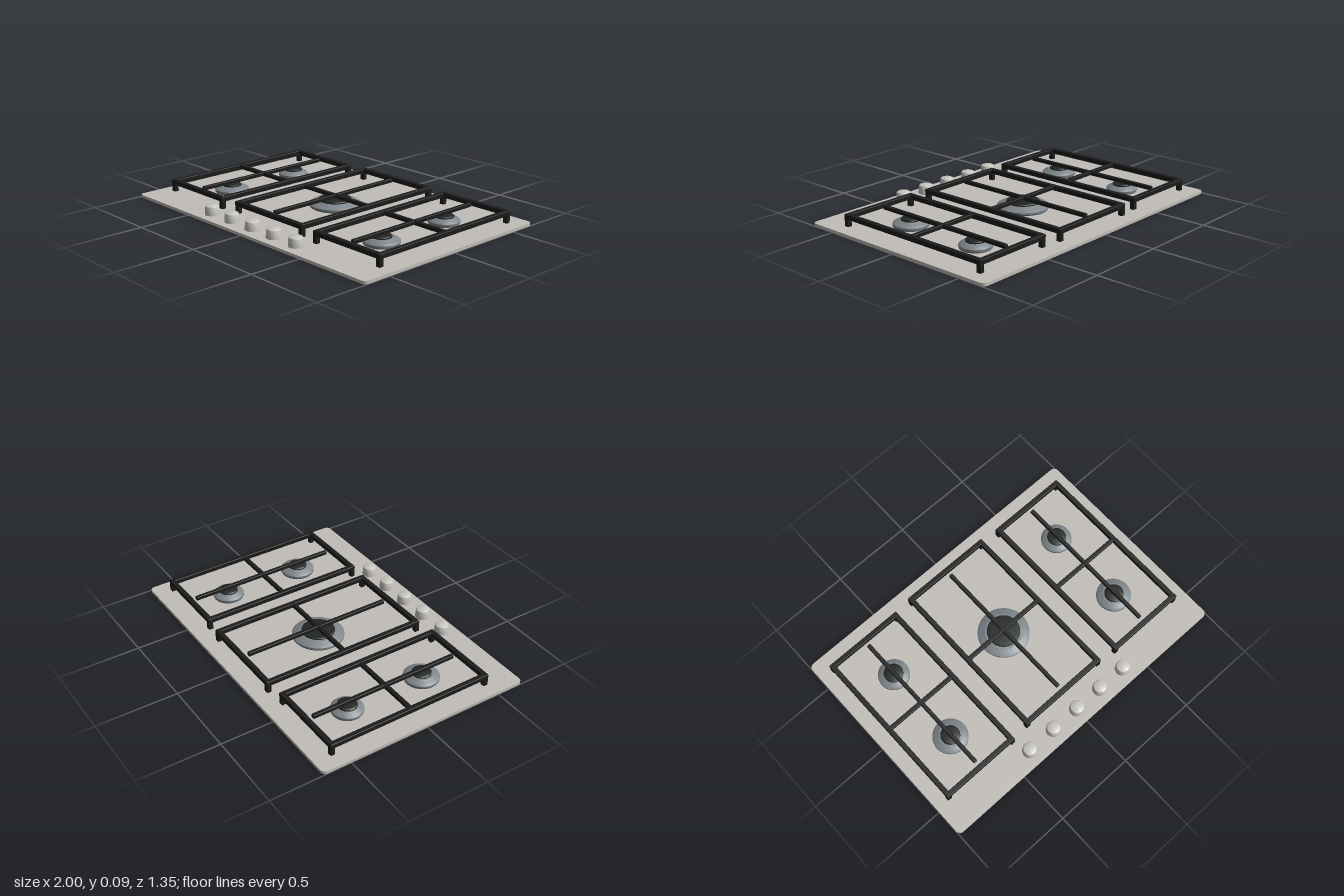
import * as THREE from 'three';
import { RoundedBoxGeometry } from 'three/addons/geometries/RoundedBoxGeometry.js';
import { toCreasedNormals } from 'three/addons/utils/BufferGeometryUtils.js';

const mat = (name, color) => {
  const m = new THREE.MeshStandardMaterial({ color });
  m.name = name;
  return m;
};

export function createModel() {
  const steel = mat('brushedSteel', 0xc1bdb8);
  const knobSteel = mat('knobSteel', 0xc9c7c0);
  const iron = mat('castIron', 0x1b1c1b);
  const alloy = mat('burnerAlloy', 0x7f878c);
  const enamel = mat('capEnamel', 0x242626);
  const model = new THREE.Group();
  model.name = 'gasHob';

  const add = (parent, name, geo, material, x = 0, y = 0, z = 0) => {
    const m = new THREE.Mesh(geo, material);
    m.name = name;
    m.position.set(x, y, z);
    parent.add(m);
    return m;
  };
  const group = (name, x, z) => {
    const g = new THREE.Group();
    g.name = name;
    g.position.set(x, 0, z);
    model.add(g);
    return g;
  };
  const lathe = (points) => toCreasedNormals(
    new THREE.LatheGeometry(points.map(([r, y]) => new THREE.Vector2(r, y)), 48), 0.6);

  // Base plate with rounded corners
  const W = 1, D = 0.677, R = 0.03, T = 0.018;
  const s = new THREE.Shape();
  s.moveTo(-W + R, -D);
  s.lineTo(W - R, -D);
  s.absarc(W - R, -D + R, R, -Math.PI / 2, 0);
  s.absarc(W - R, D - R, R, 0, Math.PI / 2);
  s.absarc(-W + R, D - R, R, Math.PI / 2, Math.PI);
  s.absarc(-W + R, -D + R, R, Math.PI, Math.PI * 1.5);
  const plate = new THREE.ExtrudeGeometry(s, { depth: T, bevelEnabled: false, curveSegments: 8 });
  plate.rotateX(-Math.PI / 2);
  add(model, 'basePlate', plate, steel);

  // Burners: sloping alloy skirt, crown ring and dark cap
  const burner = (name, x, z, outer, ring, cap) => {
    const g = group(name, x, z);
    add(g, 'burnerSkirt', lathe([
      [outer * 0.96, T], [outer, 0.026], [outer, 0.038], [outer * 0.95, 0.043],
      [(outer + ring) / 2, 0.049], [ring, 0.055], [ring - 0.004, 0.058], [0, 0.058],
    ]), alloy);
    add(g, 'burnerCap', lathe([
      [cap, 0.057], [cap, 0.064], [cap - 0.004, 0.068], [cap * 0.8, 0.07], [0, 0.071],
    ]), enamel);
  };
  burner('centreBurner', 0, -0.055, 0.157, 0.12, 0.1);
  for (const [side, x] of [['left', 0.66], ['right', -0.66]]) {
    burner(side + 'RearBurner', x, -0.296, 0.095, 0.068, 0.058);
    burner(side + 'FrontBurner', x, 0.214, 0.106, 0.075, 0.058);
  }

  // Pan supports: rectangular frame, four legs and two crossing bars
  const grate = (name, x, z, w, d) => {
    const g = group(name, x, z);
    const B = 0.03, H = 0.03, top = 0.093, y = top - H / 2;
    const bar = (n, bw, bh, bd, px, py, pz) =>
      add(g, n, new RoundedBoxGeometry(bw, bh, bd, 2, 0.004), iron, px, py, pz);
    for (const k of [-1, 1]) {
      bar('frameSide', B, H, d, k * (w - B) / 2, y, 0);
      bar('frameEnd', w, H, B, 0, y, k * (d - B) / 2);
      for (const j of [-1, 1])
        bar('leg', B, top - T - 0.004, B, k * (w - B) / 2, (top + T - 0.004) / 2, j * (d - B) / 2);
    }
    bar('crossBar', w - B, 0.024, 0.025, 0, top - 0.013, 0);
    bar('longBar', 0.024, 0.024, d - 0.107, 0, top - 0.0125, 0);
  };
  grate('leftGrate', 0.66, -0.043, 0.515, 1.065);
  grate('rightGrate', -0.66, -0.043, 0.515, 1.065);
  grate('centreGrate', 0, -0.057, 0.595, 1.065);

  // Control knobs
  const knobGeo = lathe([
    [0.045, T], [0.0445, 0.03], [0.041, 0.066], [0.0385, 0.071], [0.034, 0.0735], [0, 0.0745],
  ]);
  for (let i = -2; i <= 2; i++) add(model, 'knob' + (i + 3), knobGeo, knobSteel, i * 0.187, 0, 0.585);

  return model;
}
